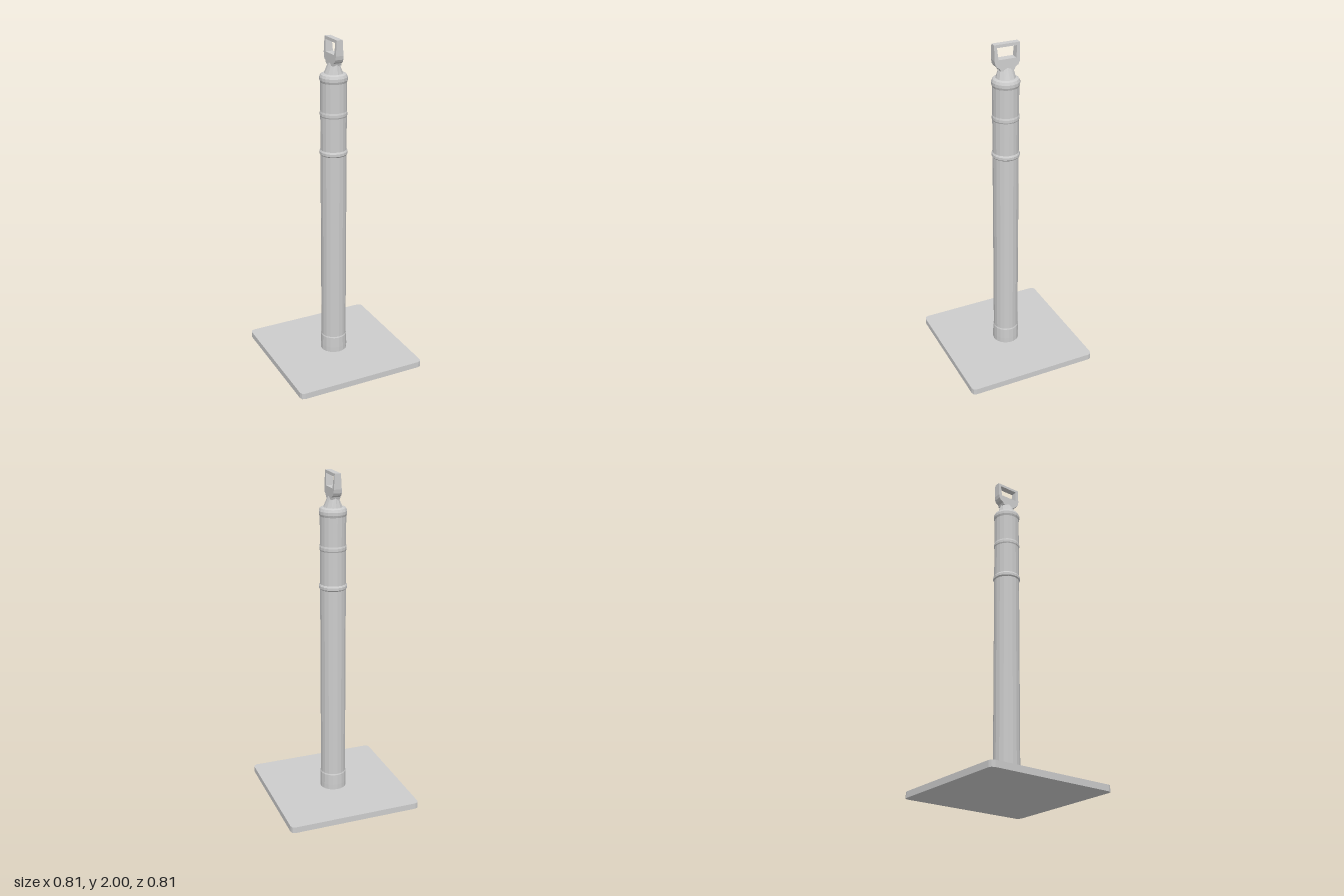
import * as THREE from 'three';

const grey = new THREE.MeshStandardMaterial({ color: 0xcccccc, flatShading: true });
grey.name = 'light grey plastic';

function part(name, geometry) {
  const mesh = new THREE.Mesh(geometry, grey);
  mesh.name = name;
  return mesh;
}

// Move every vertex by a rule
function reshape(geometry, rule) {
  const p = geometry.attributes.position;
  const v = new THREE.Vector3();
  for (let i = 0; i < p.count; i++) {
    rule(v.fromBufferAttribute(p, i));
    p.setXYZ(i, v.x, v.y, v.z);
  }
  geometry.computeVertexNormals();
  return geometry;
}

function polygon(points, Type = THREE.Shape) {
  return new Type(points.map(([x, y]) => new THREE.Vector2(x, y)));
}

// Square plate with small clipped corners
function basePlate() {
  const r = 0.406, a = 0.382, b = 0.399;
  const quarter = [[r, a], [b, b], [a, r]];
  const points = [];
  for (let k = 0; k < 4; k++) {
    for (const [x, y] of quarter) {
      points.push([[x, y], [-y, x], [-x, -y], [y, -x]][k]);
    }
  }
  const g = new THREE.ExtrudeGeometry(polygon(points), { depth: 0.037, bevelEnabled: false });
  g.rotateX(-Math.PI / 2);
  return part('basePlate', g);
}

// Round post with foot collar, two raised bands and a rounded top rim
function post() {
  const profile = [[0.081, 0.035], [0.081, 0.07], [0.079, 0.135], [0.076, 0.142]];
  for (const y of [1.335, 1.565]) {
    const r = y < 1.5 ? 0.082 : 0.079;
    profile.push([0.076, y - 0.012], [r, y - 0.005], [r, y + 0.01], [0.076, y + 0.02]);
  }
  profile.push([0.076, 1.752], [0.081, 1.765], [0.081, 1.782], [0.074, 1.797], [0.062, 1.803], [0, 1.803]);
  return part('post', new THREE.LatheGeometry(profile.map(([x, y]) => new THREE.Vector2(x, y)), 18));
}

// Neck narrowing from a round foot to a flat oval under the handle
function neck() {
  const g = new THREE.CylinderGeometry(1, 1, 1, 12, 1);
  reshape(g, (v) => {
    const top = v.y > 0;
    v.x *= top ? 0.026 : 0.058;
    v.z *= top ? 0.042 : 0.06;
    v.y = top ? 1.865 : 1.795;
  });
  return part('neck', g);
}

// Loop handle, thinner towards the top
function handle() {
  const half = [[0.042, 1.85], [0.047, 1.865], [0.064, 1.875], [0.073, 1.89], [0.077, 1.912], [0.077, 2]];
  const shape = polygon([...half, ...half.map(([x, y]) => [-x, y]).reverse()]);
  shape.holes.push(polygon([[-0.054, 1.915], [-0.06, 1.983], [0.06, 1.983], [0.054, 1.915]], THREE.Path));
  const g = new THREE.ExtrudeGeometry(shape, { depth: 2, bevelEnabled: false });
  g.translate(0, 0, -1);
  g.rotateY(Math.PI / 2);
  reshape(g, (v) => {
    v.x *= THREE.MathUtils.mapLinear(v.y, 1.85, 2, 0.027, 0.018);
  });
  return part('handle', g);
}

export function createModel() {
  const model = new THREE.Group();
  model.name = 'delineatorPost';
  model.add(basePlate(), post(), neck(), handle());
  return model;
}
